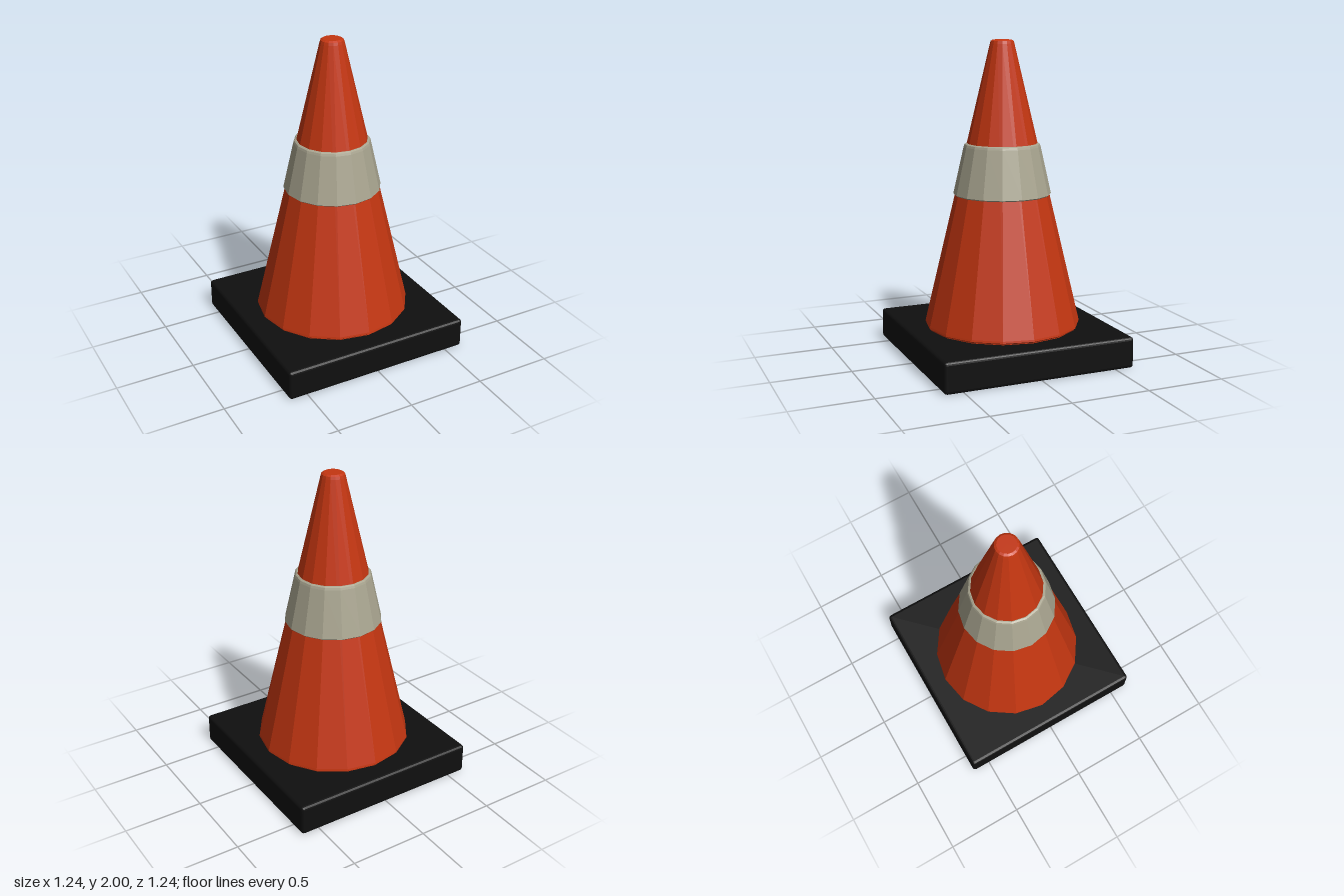
import * as THREE from 'three';
import { RoundedBoxGeometry } from 'three/addons/geometries/RoundedBoxGeometry.js';

const SIDES = 16;

function material(name, color) {
  return new THREE.MeshStandardMaterial({ name, color, flatShading: true });
}

// Faceted solid of revolution from [radius, height] pairs, listed bottom to top
function turned(name, profile, mat) {
  const points = profile.map(([r, y]) => new THREE.Vector2(r, y));
  const mesh = new THREE.Mesh(new THREE.LatheGeometry(points, SIDES), mat);
  mesh.name = name;
  return mesh;
}

export function createModel() {
  const orange = material('orange plastic', 0xc43611);
  const grey = material('reflective grey', 0xa9a590);
  const black = material('black rubber', 0x0f0f0f);

  const group = new THREE.Group();
  group.name = 'trafficCone';

  // Square rubber foot with slightly rounded edges
  const base = new THREE.Mesh(new RoundedBoxGeometry(1.24, 0.196, 1.24, 2, 0.02), black);
  base.name = 'base';
  base.position.y = 0.098;

  // Tapered body with small bevels at the foot and the tip
  const body = turned('coneBody', [
    [0, 0.19], [0.484, 0.19], [0.484, 0.2], [0.494, 0.208], [0.492, 0.22],
    [0.076, 1.975], [0.071, 1.992], [0.058, 2], [0, 2],
  ], orange);

  // Raised sleeve around the body
  const band = turned('reflectiveBand', [
    [0.28, 1.035], [0.3, 1.035], [0.308, 1.042], [0.305, 1.055],
    [0.241, 1.34], [0.236, 1.354], [0.226, 1.36], [0.21, 1.36],
  ], grey);

  group.add(base, body, band);
  return group;
}
